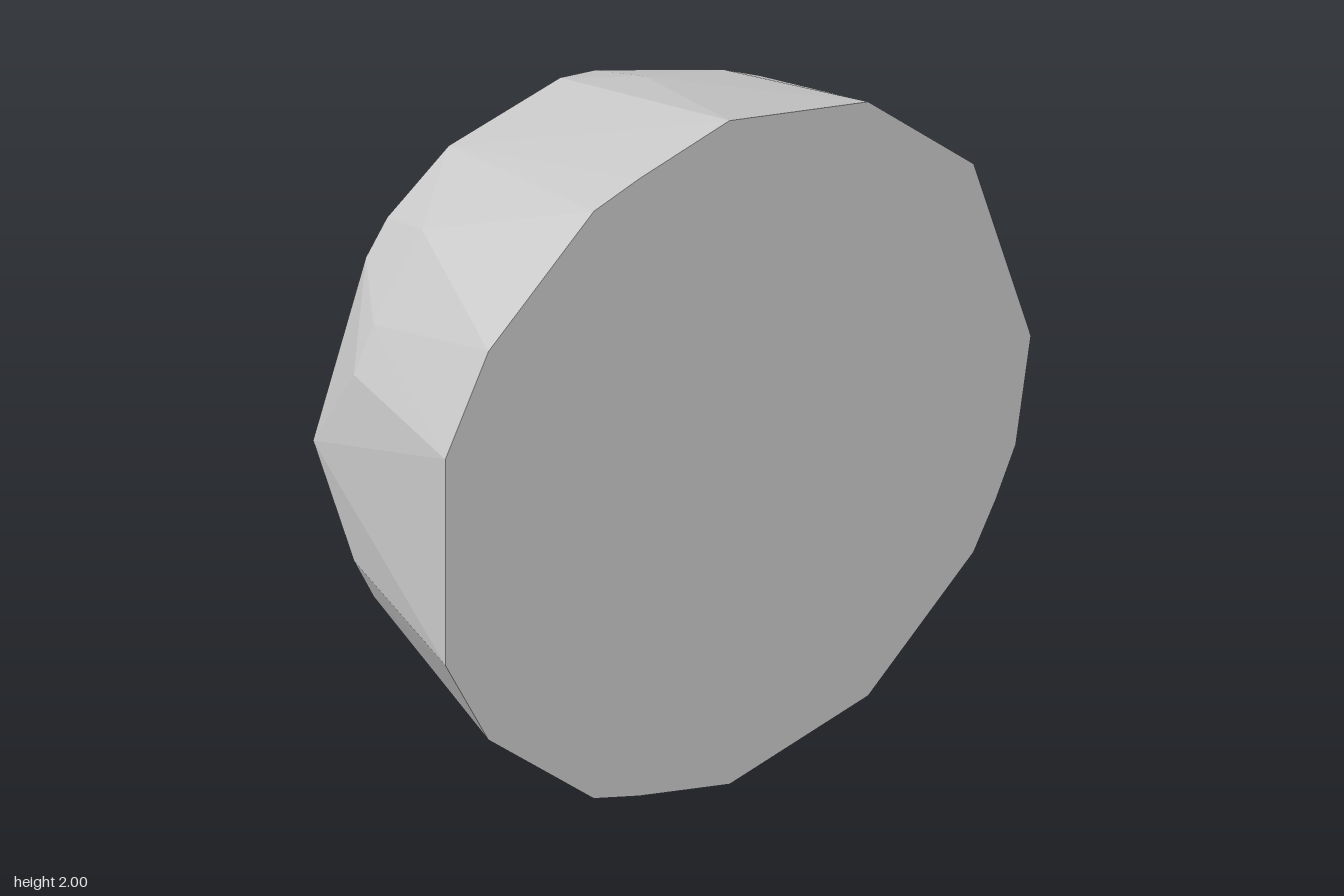
import * as THREE from 'three';
import { ConvexGeometry } from 'three/addons/geometries/ConvexGeometry.js';

// Adds [x, y] points at depth z; mirrored ones are repeated about the y = 1 axis.
function ring(z, mirrored, single) {
  const points = [];
  for (const [x, y] of mirrored) {
    points.push(new THREE.Vector3(x, y, z), new THREE.Vector3(x, 2 - y, z));
  }
  for (const [x, y] of single) points.push(new THREE.Vector3(x, y, z));
  return points;
}

export function createModel() {
  const group = new THREE.Group();
  group.name = 'taperedBlock';

  // Large front face
  const front = ring(0.36,
    [[-0.03, 2], [0.43, 1.895], [0.78, 1.585], [-0.33, 1.93], [-0.48, 1.885], [-0.83, 1.585], [-0.973, 1.31]],
    [[0.97, 1], [0.92, 0.69], [0.855, 0.55]]);

  // Slightly bulging facets between the two faces
  const middle = ring(-0.18,
    [[0.11, 1.84], [0.37, 1.77], [0.49, 1.71], [-0.53, 1.7], [-0.63, 1.64], [-0.79, 1.41], [-0.855, 1.28]],
    [[0.74, 0.61], [0.68, 0.49], [0.6, 0.39]]);

  // Smaller back face
  const back = ring(-0.36,
    [[-0.03, 1.805], [0.087, 1.787], [0.43, 1.637], [0.54, 1.57], [-0.4, 1.73], [-0.605, 1.585], [-0.675, 1.49]],
    [[0.78, 1], [0.69, 0.63], [-0.85, 1]]);

  const material = new THREE.MeshStandardMaterial({ color: 0xcccccc, flatShading: true });
  const body = new THREE.Mesh(new ConvexGeometry([...front, ...middle, ...back]), material);
  body.name = 'body';
  group.add(body);
  return group;
}
